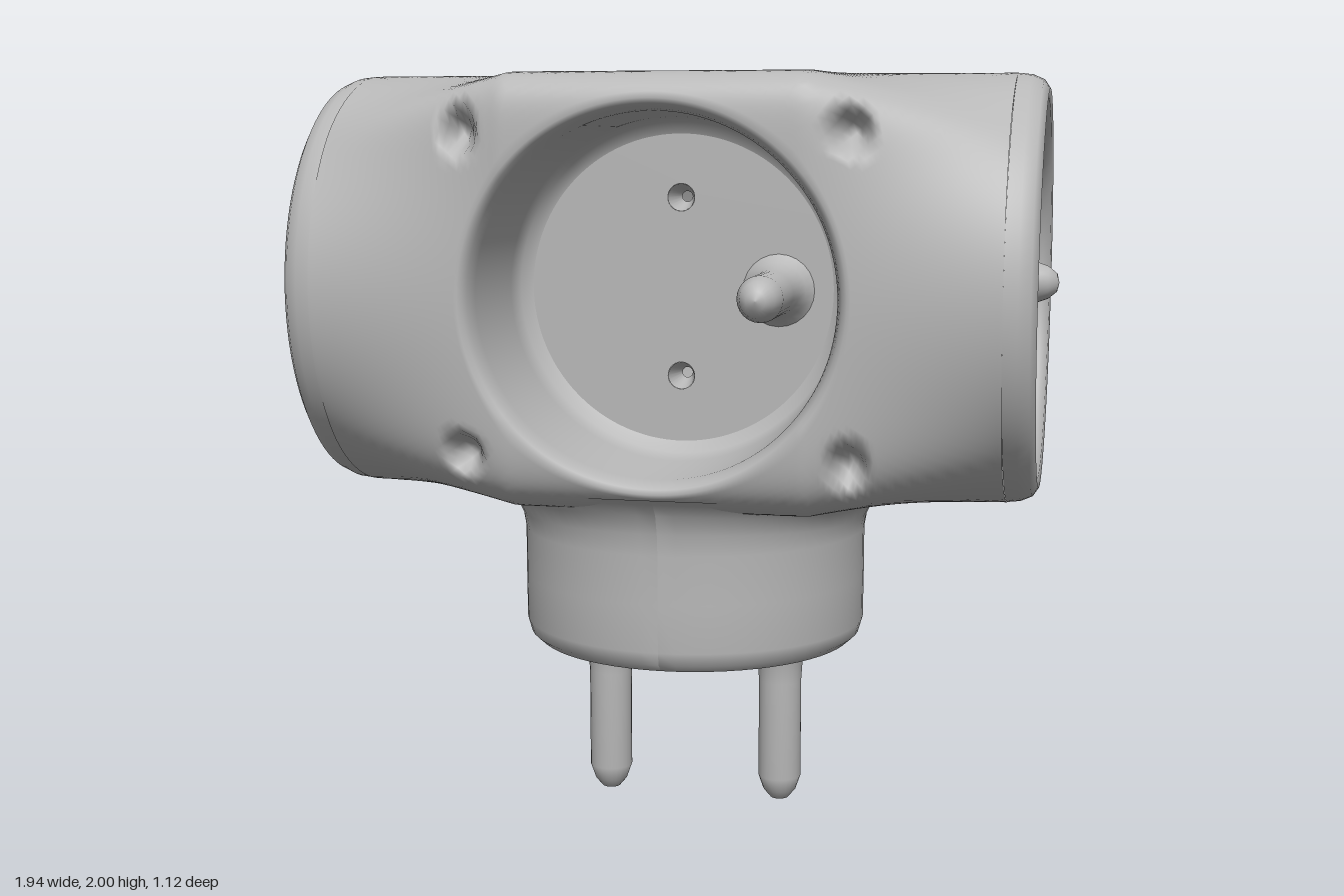
import * as THREE from 'three';

const R = 0.56, CY = 1.44;          // barrel radius and axis height
const END_L = 0.94, END_R = 0.965;  // distance of each end face from x = 0
const HALF_PI = Math.PI / 2;

const grey = new THREE.MeshStandardMaterial({ color: 0xb8b8b8, side: THREE.DoubleSide });
grey.name = 'grey plastic';

function mesh(name, geometry) {
  const m = new THREE.Mesh(geometry, grey);
  m.name = name;
  return m;
}

function lathe(points, segments = 64) {
  return new THREE.LatheGeometry(points.map(([r, y]) => new THREE.Vector2(r, y)), segments);
}

// Barrel cross-section: squared in the middle, blending straight to round ends
function section(x, phi) {
  const c = Math.cos(phi), s = Math.sin(phi);
  const w = THREE.MathUtils.clamp((0.9 - Math.abs(x)) / 0.52, 0, 1);
  const n = c >= 0 ? (s >= 0 ? 12 : 7) : (s >= 0 ? 2 : 5);
  const square = (Math.abs(c) ** n + Math.abs(s) ** n) ** (-1 / n);
  const r = R * THREE.MathUtils.lerp(1, square, w);
  return [x, CY + r * s, r * c];
}

// Angle at which the section reaches a given height on the front
function angleAt(x, dy) {
  let lo = -HALF_PI, hi = HALF_PI;
  for (let i = 0; i < 30; i++) {
    const mid = (lo + hi) / 2;
    if (section(x, mid)[1] - CY < dy) lo = mid; else hi = mid;
  }
  return (lo + hi) / 2;
}

// Smooth surface from rows of points; "closed" joins the ends of each row
function grid(rows, closed) {
  const n = rows[0].length, index = [];
  for (let i = 0; i < rows.length - 1; i++) {
    for (let j = 0; j < (closed ? n : n - 1); j++) {
      const k = (j + 1) % n;
      const a = i * n + j, b = i * n + k, c = a + n, d = b + n;
      index.push(a, c, b, b, c, d);
    }
  }
  const g = new THREE.BufferGeometry();
  g.setAttribute('position', new THREE.Float32BufferAttribute(rows.flat(2), 3));
  g.setIndex(index);
  g.computeVertexNormals();
  return g;
}

// Front shell with its round opening, cup wall and four screw dents
const FRONT_FLOOR = 0.17;
function frontShell() {
  const N = 192, M = 40, RIM = 0.49;
  const cx = (END_L - END_R) / 2, hx = (END_L + END_R) / 2 - 0.08;
  const rays = [];
  for (let j = 0; j < N; j++) {
    const a = (j / N) * Math.PI * 2, c = Math.cos(a), s = Math.sin(a);
    const m = Math.max(Math.abs(c), Math.abs(s));
    const x = RIM * c, phi = angleAt(x, RIM * s);
    rays.push({ c, s, x, phi, ox: cx + hx * c / m, op: HALF_PI * s / m, z: section(x, phi)[2] });
  }
  const rows = [];
  for (const [r, rise] of [[0.405, 0], [0.435, 0.015], [0.45, 0.06]]) {
    rows.push(rays.map(q => [r * q.c, CY + r * q.s, FRONT_FLOOR + rise]));
  }
  for (const [r, drop] of [[0.46, 0.06], [0.47, 0.025], [0.478, 0.008]]) {
    rows.push(rays.map(q => [r * q.c, CY + r * q.s, q.z - drop]));
  }
  for (let i = 0; i <= M; i++) {
    const t = i / M;
    rows.push(rays.map(q => {
      const p = section(q.x + (q.ox - q.x) * t, q.phi + (q.op - q.phi) * t);
      const d = Math.hypot(Math.abs(p[0]) - 0.49, Math.abs(p[1] - 1.445) - 0.405) / 0.065;
      if (d < 1) p[2] -= 0.1 * (1 - d * d) ** 2;
      return p;
    }));
  }
  return grid(rows, true);
}

// Rounded back half of the barrel
function backShell() {
  const rows = [];
  for (let i = 0; i <= 48; i++) {
    const x = -END_R + 0.08 + (END_L + END_R - 0.16) * i / 48;
    const row = [];
    for (let j = 0; j <= 48; j++) row.push(section(x, HALF_PI + Math.PI * j / 48));
    rows.push(row);
  }
  return grid(rows, false);
}

// Contact pin with flared foot, standing along +y
function pin(length) {
  return lathe([[0.095, 0], [0.075, 0.02], [0.063, 0.06], [0.059, 0.12], [0.059, length - 0.07],
    [0.045, length - 0.03], [0.025, length - 0.006], [0, length]], 24);
}

// Flat disc facing +z with small round holes and their tapering sleeves
function piercedDisc(radius, holes, depth) {
  const group = new THREE.Group();
  const shape = new THREE.Shape().absarc(0, 0, radius, 0, Math.PI * 2, false);
  for (const [x, y] of holes) {
    shape.holes.push(new THREE.Path().absarc(x, y, 0.036, 0, Math.PI * 2, true));
    const sleeve = mesh('holeSleeve', new THREE.CylinderGeometry(0.036, 0.014, depth, 20, 1, true).rotateX(HALF_PI));
    sleeve.position.set(x, y, -depth / 2);
    group.add(sleeve);
  }
  group.add(mesh('disc', new THREE.ShapeGeometry(shape, 32)));
  return group;
}

// Socket floor and earth pin, facing +z
function socketInside(name, floor, pinLength) {
  const group = new THREE.Group();
  group.name = name;
  group.position.y = CY;
  const disc = piercedDisc(0.412, [[0, 0.24], [0, -0.23]], 0.08);
  disc.name = 'socketFloor';
  disc.position.z = floor;
  const earth = mesh('earthPin', pin(pinLength).rotateX(HALF_PI));
  earth.position.set(0.26, 0, floor);
  group.add(disc, earth);
  return group;
}

export function createModel() {
  const model = new THREE.Group();
  model.name = 'plugAdapter';
  model.add(mesh('frontShell', frontShell()), mesh('backShell', backShell()));
  model.add(socketInside('frontSocket', FRONT_FLOOR, 0.35));

  // Side sockets with rounded rims
  for (const [name, e, turn, pinLength] of [['leftSocket', END_L, 1, 0.4], ['rightSocket', END_R, -1, 0.37]]) {
    const socket = socketInside(name, e - 0.37, pinLength);
    socket.rotation.y = turn * HALF_PI;
    socket.add(mesh('socketRim', lathe([[0.56, e - 0.08], [0.556, e - 0.045], [0.543, e - 0.015], [0.52, e],
      [0.495, e - 0.004], [0.477, e - 0.025], [0.468, e - 0.08], [0.452, e - 0.31],
      [0.437, e - 0.355], [0.405, e - 0.37]], 96).rotateX(HALF_PI)));
    model.add(socket);
  }

  // Plug neck, its flare rising at front and back to meet the barrel
  const plug = new THREE.Group();
  plug.name = 'plug';
  plug.position.z = -0.01;
  const neck = lathe([[0.41, 0.465], [0.435, 0.47], [0.457, 0.49], [0.467, 0.525], [0.468, 0.65],
    [0.468, 0.78], [0.475, 0.82], [0.492, 0.855], [0.52, 0.878], [0.55, 0.89]]);
  const p = neck.attributes.position;
  for (let i = 0; i < p.count; i++) {
    const y = p.getY(i), x = p.getX(i), z = p.getZ(i);
    const lift = Math.max(0, (y - 0.78) / 0.11) * z * z / (x * x + z * z);
    p.setY(i, y + (z > 0 ? 0.05 : 0.16) * lift);
  }
  neck.computeVertexNormals();
  plug.add(mesh('plugNeck', neck));

  // Plug face with earth hole
  const face = piercedDisc(0.412, [[0, -0.28]], 0.2);
  face.name = 'plugFace';
  face.rotation.x = HALF_PI;
  face.position.y = 0.465;
  plug.add(face);
  model.add(plug);

  // Plug pins
  for (const side of [1, -1]) {
    const plugPin = mesh('plugPin', pin(0.465).rotateX(Math.PI));
    plugPin.position.set(side * 0.243, 0.465, 0);
    model.add(plugPin);
  }
  return model;
}
